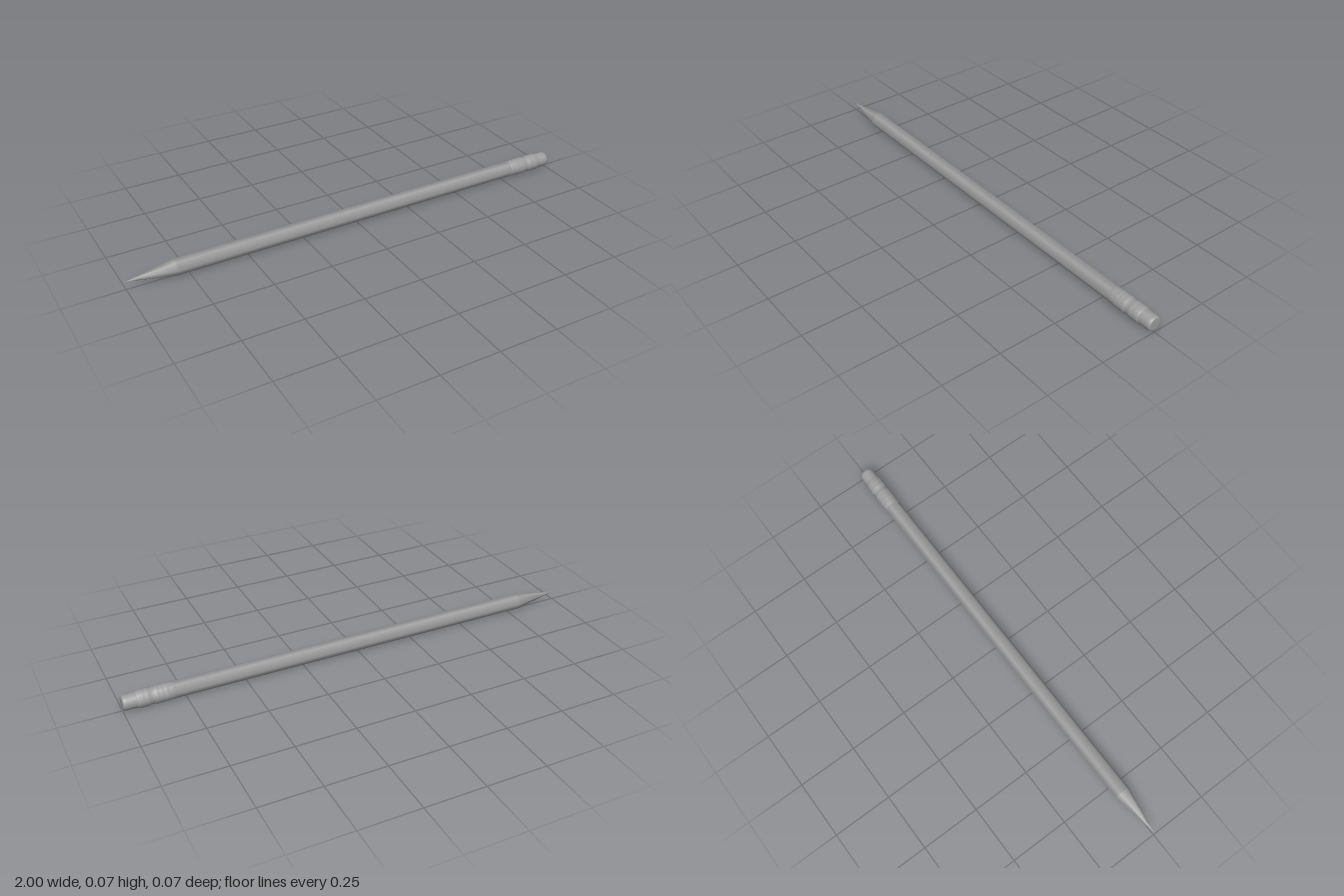
import * as THREE from 'three';

const AXIS_Y = 0.037;
const HEX_R = 0.034;

export function createModel() {
  const pencil = new THREE.Group();
  pencil.name = 'pencil';
  const grey = new THREE.MeshStandardMaterial({ color: 0x9c9c9c });

  // Lay geometry built along y onto the x axis (+y becomes +x)
  const add = (name, geometry) => {
    geometry.rotateZ(-Math.PI / 2);
    const mesh = new THREE.Mesh(geometry, grey);
    mesh.name = name;
    mesh.position.y = AXIS_Y;
    pencil.add(mesh);
  };
  // Six-sided section with softly shaded edges
  const prism = (x0, x1, r0, r1) =>
    new THREE.CylinderGeometry(r1, r0, x1 - x0, 6, 1, true).translate(0, (x0 + x1) / 2, 0);
  const lathe = (points, segments) =>
    new THREE.LatheGeometry(points.map(([r, x]) => new THREE.Vector2(r, x)), segments);

  // Hexagonal shaft, sharpened wood and lead point
  const leadR = HEX_R * 0.25;
  add('shaft', prism(-0.8, 0.82, HEX_R, HEX_R));
  add('sharpenedWood', prism(-0.95, -0.8, leadR, HEX_R));
  add('leadPoint', prism(-1, -0.95, 0.0005, leadR));

  // Metal ferrule: two gently ribbed bands around a narrower waist
  const profile = [[0.031, 0.791], [0.0345, 0.792], [0.035, 0.81]];
  const ribs = (start, count) => {
    for (let i = 0; i < count; i++) {
      const x = start + i * 0.018;
      profile.push([0.0355, x], [0.0365, x + 0.005], [0.0365, x + 0.011]);
    }
  };
  ribs(0.82, 3);
  profile.push([0.0345, 0.874], [0.033, 0.882], [0.0345, 0.89]);
  ribs(0.896, 2);
  profile.push([0.0355, 0.934], [0.035, 0.945], [0.031, 0.946]);
  add('ferrule', lathe(profile, 14));

  // Eraser with a rounded end
  add('eraser', lathe([
    [0.0315, 0.94], [0.0315, 0.985], [0.0308, 0.992], [0.0288, 0.9975],
    [0.026, 0.9995], [0.023, 1], [0, 1],
  ], 24));

  return pencil;
}
